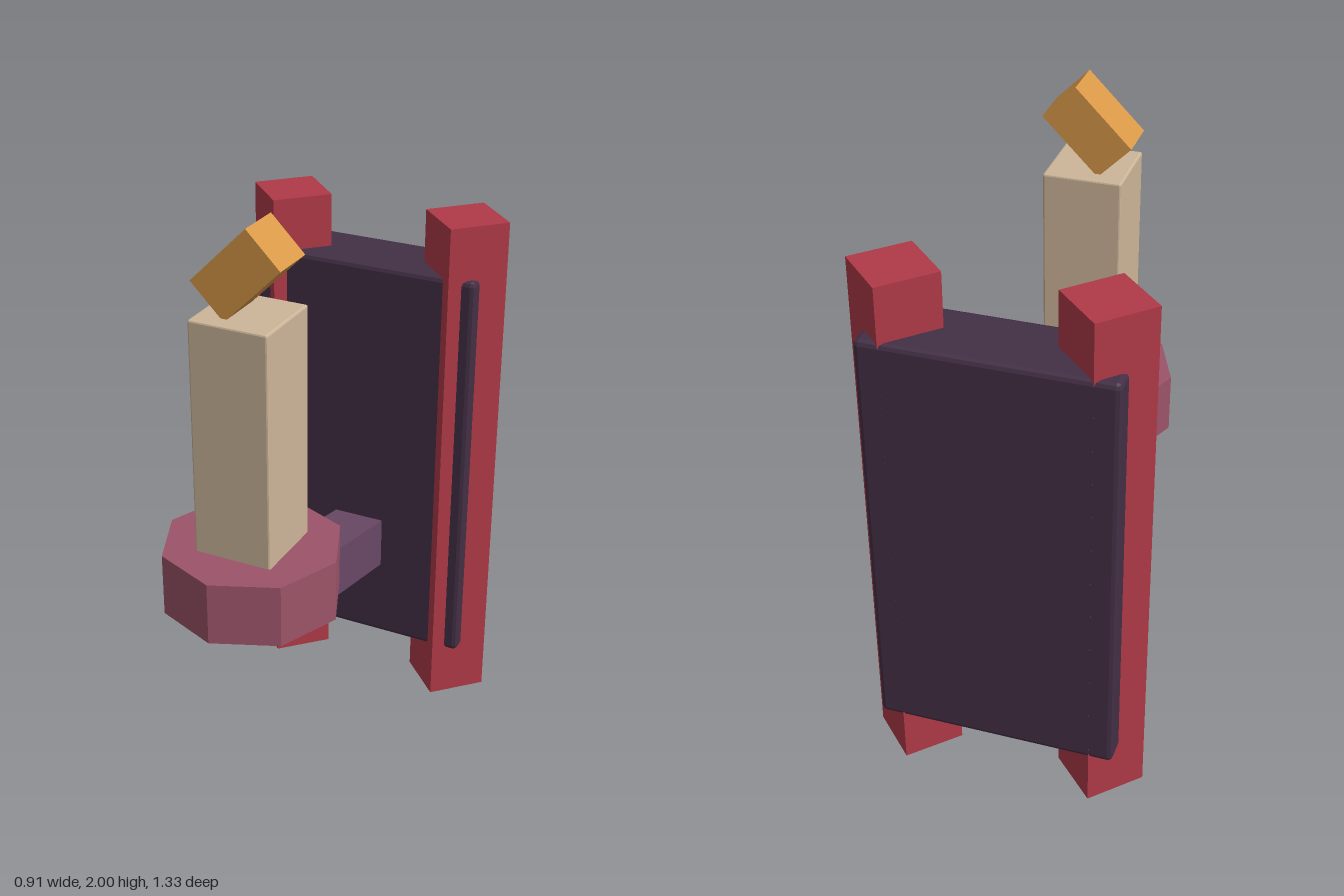
import * as THREE from 'three';
import { RoundedBoxGeometry } from 'three/addons/geometries/RoundedBoxGeometry.js';

const material = (name, color) => {
  const m = new THREE.MeshStandardMaterial({ color, flatShading: true });
  m.name = name;
  return m;
};

export function createModel() {
  const red = material('post red', 0xb03a47);
  const plum = material('panel dark plum', 0x432f45);
  const violet = material('arm violet', 0x694866);
  const rose = material('cup rose', 0x9c5469);
  const cream = material('candle cream', 0xcdb699);
  const amber = material('flame amber', 0xd89848);

  const model = new THREE.Group();
  model.name = 'wallCandle';
  const add = (name, geometry, mat, x, y, z) => {
    const mesh = new THREE.Mesh(geometry, mat);
    mesh.name = name;
    mesh.position.set(x, y, z);
    model.add(mesh);
    return mesh;
  };

  // Back panel with softened edges
  add('backPanel', new RoundedBoxGeometry(0.78, 1.41, 0.255, 1, 0.016), plum, 0, 0.89, -0.538);

  // Square posts turned on edge, one on each side of the panel
  for (const side of [-1, 1]) {
    const post = add(side > 0 ? 'leftPost' : 'rightPost',
      new THREE.BoxGeometry(0.203, 1.775, 0.203), red, side * 0.313, 0.8875, -0.522);
    post.rotation.y = Math.PI / 4;
  }

  // Arm rising from the panel to the cup
  const tilt = 0.206, length = 0.9;
  const arm = add('arm', new THREE.BoxGeometry(0.178, 0.177, length), violet, 0,
    0.727 - Math.sin(tilt) * length / 2, 0.392 - Math.cos(tilt) * length / 2);
  arm.rotation.x = -tilt;

  // Octagonal cup with a corner facing front
  add('cup', new THREE.CylinderGeometry(0.286, 0.286, 0.205, 8), rose, 0, 0.8625, 0.379);

  // Candle with slightly eased edges, sunk a little into the cup
  add('candle', new RoundedBoxGeometry(0.256, 0.785, 0.256, 1, 0.006), cream, 0, 1.33, 0.379);

  // Block flame tipped on its corner
  const flame = add('flame', new THREE.BoxGeometry(0.257, 0.152, 0.152), amber, 0, 1.857, 0.379);
  flame.rotation.z = Math.PI / 4;

  return model;
}
